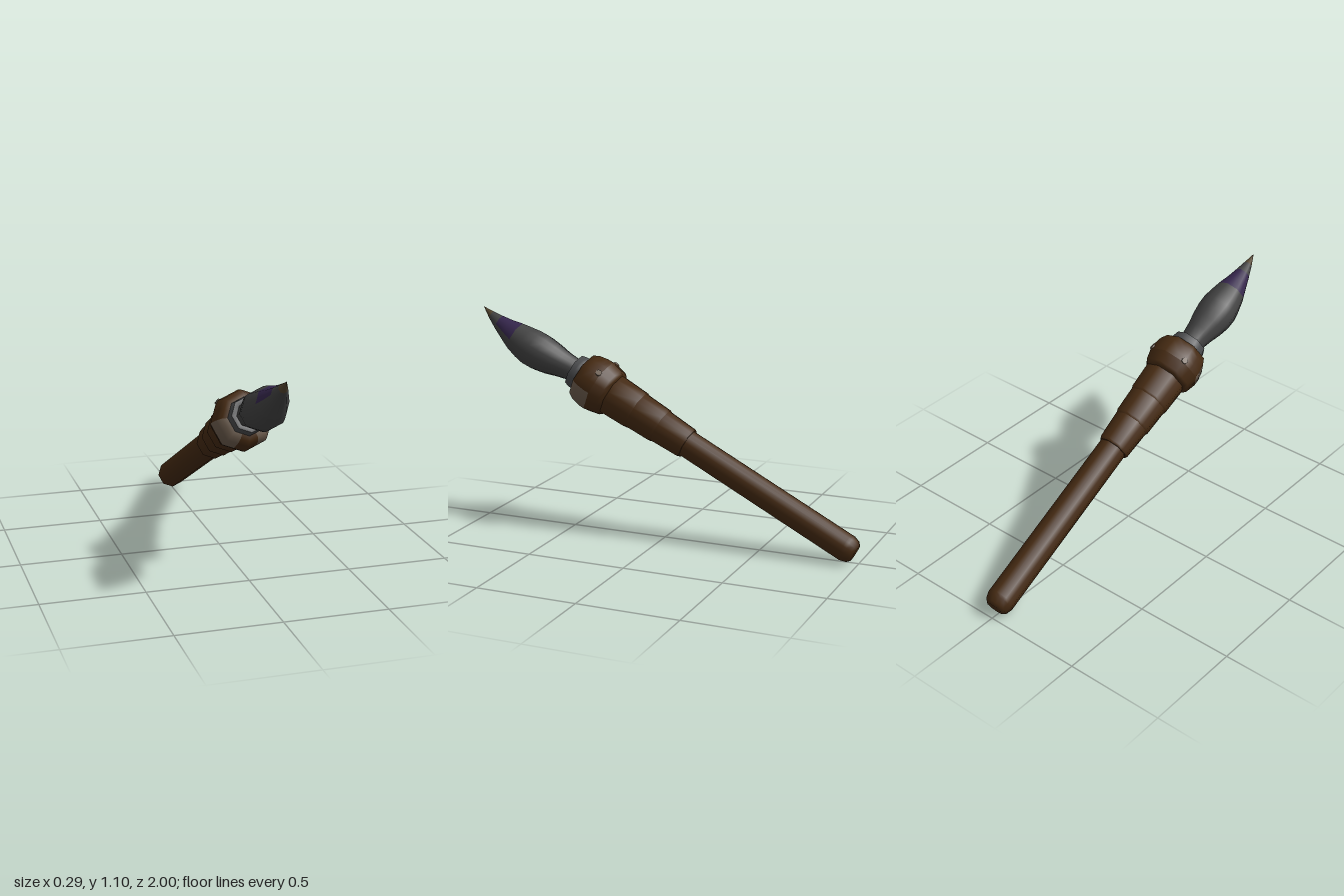
import * as THREE from 'three';

const mat = (name, color) => {
  const m = new THREE.MeshStandardMaterial({ color });
  m.name = name;
  return m;
};

const SIDES = 8;
const DEG = Math.PI / 180;

// Eight-sided turned part; profile points are [radius, distance along the shaft].
// Angles run from the underside (0) towards the model's left (90), in degrees.
function turned(profile, from = 0, to = 360, bend = null) {
  const pts = profile.map(([r, s]) => new THREE.Vector2(r, s));
  const segs = Math.round((to - from) / 22.5);
  const geo = new THREE.LatheGeometry(pts, segs, from * DEG, (to - from) * DEG);
  const p = geo.attributes.position;
  const step = (2 * Math.PI) / SIDES;
  for (let i = 0; i < p.count; i++) {
    // pull in-between vertices onto the octagon's flat sides
    const phi = Math.atan2(p.getX(i), p.getZ(i)) + 2 * Math.PI + 1e-6;
    const k = Math.cos(step / 2) / Math.cos((phi % step) - step / 2);
    const z = p.getZ(i) * k - (bend ? bend(p.getY(i)) : 0);
    p.setXYZ(i, p.getX(i) * k, p.getY(i), z);
  }
  return geo;
}

export function createModel() {
  const wood = mat('dark brown wood', 0x452a12);
  const hair = mat('charcoal bristles', 0x424242);
  const metal = mat('grey ferrule', 0x4a4b4d);
  const bone = mat('dull beige', 0x6b5b4c);
  const paint = mat('dark purple', 0x35264c);
  const tipMat = mat('brown tip', 0x54452f);

  const model = new THREE.Group();
  model.name = 'paintbrush';

  // Shaft frame: local y runs from the handle end to the bristle tip
  const shaft = new THREE.Group();
  shaft.name = 'shaft';
  shaft.rotation.x = 62.55 * DEG;
  shaft.position.set(0, 0.045, -0.98);
  model.add(shaft);

  const add = (name, geo, material) => {
    const m = new THREE.Mesh(geo, material);
    m.name = name;
    shaft.add(m);
    return m;
  };

  // Handle with a bevelled end
  add('handle', turned([[0, 0], [0.045, 0], [0.062, 0.015], [0.072, 0.045], [0.072, 0.06], [0.072, 1.0]]), wood);

  // Stepped grip sleeves
  [[0.97, 1.15, 0.084, 0.092], [1.127, 1.29, 0.097, 0.102], [1.27, 1.43, 0.107, 0.112]].forEach(([a, b, r0, r1], i) => {
    add('gripSleeve' + (i + 1), turned([[0.06, a], [r0 - 0.006, a], [r0 - 0.006, a], [r0, a + 0.012], [r1, b - 0.01], [0.07, b]]), wood);
  });

  // Collar: plain back, front half divided into wooden and beige sectors
  add('collarBack', turned([[0.1, 1.42], [0.12, 1.425], [0.131, 1.44], [0.145, 1.495]]), wood);
  const front = [[0.145, 1.495], [0.145, 1.525], [0.136, 1.57], [0.118, 1.603], [0.08, 1.61]];
  add('collarTop', turned(front, 90, 270), wood);
  add('collarUnderside', turned(front, -22.5, 22.5), wood);
  add('leftCollarPlate', turned(front, 22.5, 90), bone);
  add('rightCollarPlate', turned(front, 270, 337.5), bone);

  // Small studs on the collar's upper shoulders
  for (const side of [1, -1]) {
    const stud = add(side > 0 ? 'leftStud' : 'rightStud', new THREE.CylinderGeometry(0.016, 0.016, 0.009, 8), bone);
    const dir = new THREE.Vector3(side * Math.SQRT1_2, 0, -Math.SQRT1_2);
    stud.position.copy(dir).multiplyScalar(0.143).setY(1.505);
    stud.quaternion.setFromUnitVectors(new THREE.Vector3(0, 1, 0), dir);
  }

  // Ferrule ring
  add('ferrule', turned([[0.088, 1.58], [0.093, 1.615], [0.091, 1.63], [0.085, 1.654], [0.085, 1.654], [0.06, 1.657], [0.05, 1.645]]), metal);

  // Bristles: sagging belly and upturned point
  const bend = (s) => {
    const t = THREE.MathUtils.clamp((s - 1.64) / 0.6, 0, 1);
    return -0.026 * Math.sin(Math.PI * t) + 0.018 * t ** 6;
  };
  const belly = [[0.06, 1.62], [0.064, 1.67], [0.074, 1.73], [0.089, 1.79], [0.099, 1.85], [0.1, 1.9], [0.092, 1.95], [0.078, 2.01]];
  const band = [[0.078, 2.01], [0.059, 2.065], [0.04, 2.125]];
  add('bristles', turned(belly, 0, 360, bend), hair);
  add('paintPatch', turned(band, 90, 270, bend), paint);
  add('bristleUnderside', turned(band, -90, 90, bend), hair);
  add('bristleEnd', turned([[0.04, 2.125], [0.022, 2.18]], 0, 360, bend), hair);
  add('bristleTip', turned([[0.022, 2.18], [0.01, 2.212], [0, 2.24]], 0, 360, bend), tipMat);

  return model;
}
